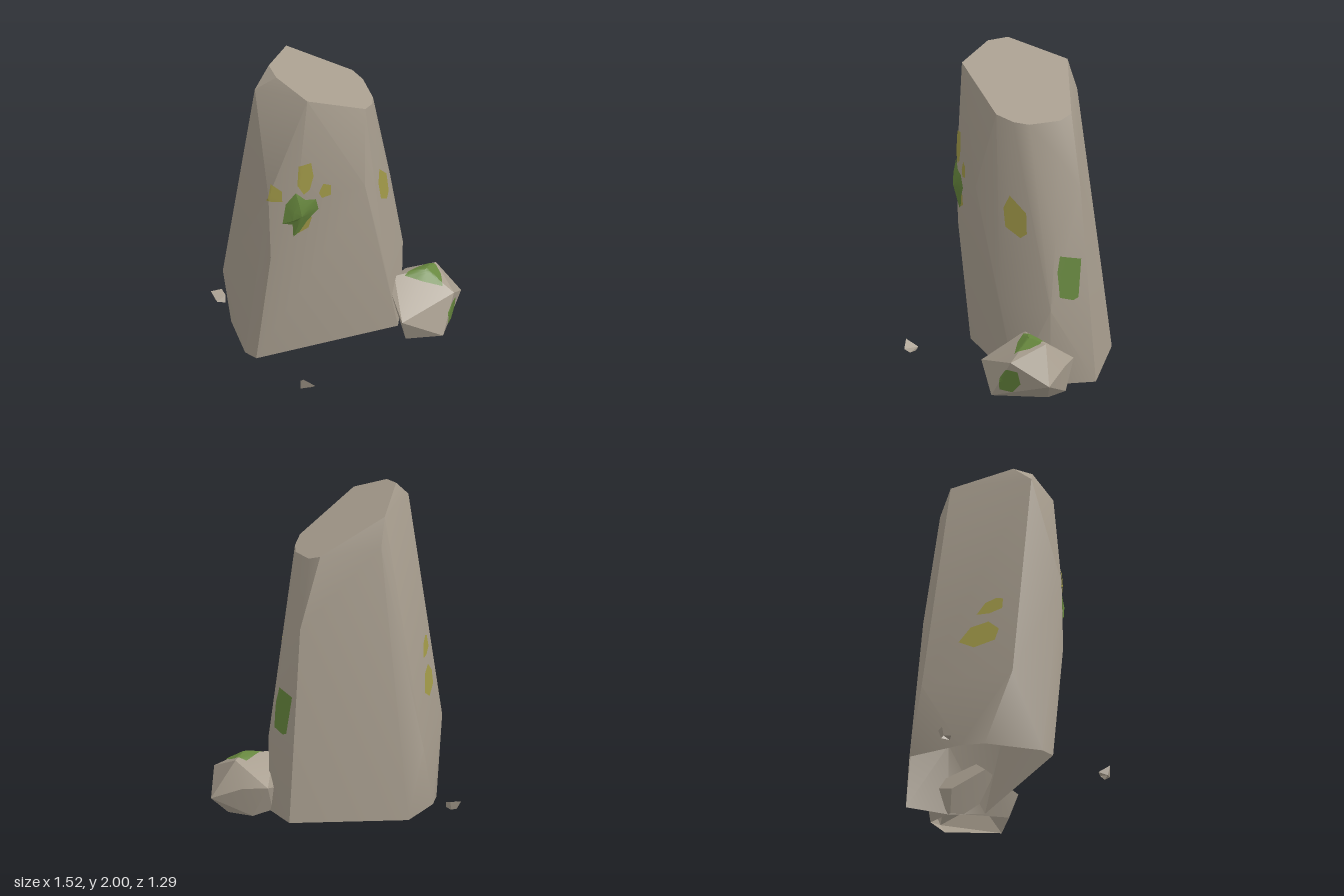
import * as THREE from 'three';
import { toCreasedNormals } from 'three/addons/utils/BufferGeometryUtils.js';
import { ConvexGeometry } from 'three/addons/geometries/ConvexGeometry.js';

const mat = (name, color) => {
  const m = new THREE.MeshStandardMaterial({ color, side: THREE.DoubleSide });
  m.name = name;
  return m;
};

// A stone is the convex hull of a few corner points, hollow and open at the ground.
function stone(name, corners, material, crease) {
  const hull = new ConvexGeometry(corners.map((p) => new THREE.Vector3(...p)));
  const pos = hull.attributes.position;
  const shell = [];
  for (let i = 0; i < pos.count; i += 3) {
    const tri = [0, 1, 2].map((k) => new THREE.Vector3().fromBufferAttribute(pos, i + k));
    if (tri.some((p) => p.y > 0.001)) shell.push(...tri);
  }
  const geometry = toCreasedNormals(new THREE.BufferGeometry().setFromPoints(shell), crease);
  const mesh = new THREE.Mesh(geometry, material);
  mesh.name = name;
  return mesh;
}

// A thin growth: an outline (u, v) seen from azimuth/elevation, laid onto a stone.
function patch(name, rock, material, corners, azimuth, elevation = 0, dome = 0) {
  const sa = Math.sin(azimuth), ca = Math.cos(azimuth);
  const se = Math.sin(elevation), ce = Math.cos(elevation);
  const out = new THREE.Vector3(sa * ce, se, ca * ce);
  const right = new THREE.Vector3(ca, 0, -sa);
  const up = new THREE.Vector3(-sa * se, ce, -ca * se);
  const ray = new THREE.Raycaster();

  // flat growths get finer outlines so they wrap over the creases
  const split = dome ? 1 : 5;
  const outline = corners.flatMap(([u, v], i) => {
    const [u2, v2] = corners[(i + 1) % corners.length];
    return Array.from({ length: split }, (_, k) => [u + (u2 - u) * k / split, v + (v2 - v) * k / split]);
  });
  const n = outline.length;
  const cu = outline.reduce((s, p) => s + p[0], 0) / n;
  const cv = outline.reduce((s, p) => s + p[1], 0) / n;

  const land = (u, v, t) => {
    for (let f = t; f > -0.01; f -= 0.02) {
      const origin = out.clone().multiplyScalar(5)
        .addScaledVector(right, cu + (u - cu) * f)
        .addScaledVector(up, cv + (v - cv) * f);
      ray.set(origin, out.clone().negate());
      const hit = ray.intersectObject(rock)[0];
      if (hit) {
        return hit.point.addScaledVector(hit.face.normal, 0.007).addScaledVector(out, dome * (1 - t));
      }
    }
    return out.clone().multiplyScalar(0.1);
  };

  const rings = dome ? 2 : 7;
  const grid = [];
  for (let r = 0; r <= rings; r++) {
    grid.push(outline.map(([u, v]) => land(u, v, r / rings)));
  }
  // outlines run clockwise; triangles are wound to face outwards
  const points = [];
  for (let r = 0; r < rings; r++) {
    for (let i = 0; i < n; i++) {
      const j = (i + 1) % n;
      const a = grid[r][i], b = grid[r][j], c = grid[r + 1][j], d = grid[r + 1][i];
      points.push(a, c, d);
      if (r > 0) points.push(a, b, c);
    }
  }
  const geometry = toCreasedNormals(new THREE.BufferGeometry().setFromPoints(points), 0.35);
  const mesh = new THREE.Mesh(geometry, material);
  mesh.name = name;
  return mesh;
}

export function createModel() {
  const group = new THREE.Group();
  group.name = 'standingStone';
  const rockMat = mat('stone', 0xa79d8e);
  const mossMat = mat('moss', 0x66863d);
  const lichenMat = mat('lichen', 0xa09848);

  // slanted flat top: plan outline dropped onto one tilted plane
  const top = [
    [-0.5, -0.04], [-0.5, 0.09], [-0.37, 0.29], [0.06, 0.18], [0.14, 0.09],
    [0.18, 0], [0.19, -0.2], [0.15, -0.28], [-0.26, -0.36],
  ].map(([x, z]) => [x, 1.73 - 0.53 * x - 0.1 * z, z]);

  // shoulders and belly of the tall stone
  const middle = [
    [-0.62, 1.89, 0.03], [-0.21, 1.72, -0.41], [0.25, 1.42, -0.18],
    [0.3, 1.23, -0.3], [0.01, 1.2, 0.3], [-0.45, 1.15, 0.305],
    [-0.61, 1.22, 0.24], [-0.6, 0.78, 0.255], [0.19, 0.5, 0.19], [0.345, 0.95, -0.13],
    [0.41, 0.48, -0.08], [-0.76, 0.48, -0.16], [-0.4, 0.44, -0.62],
  ];
  const foot = [
    [0.41, -0.37], [-0.28, -0.65], [-0.56, -0.43], [-0.65, -0.3],
    [-0.7, 0.07], [-0.66, 0.16], [0.3, 0.12], [0.4, -0.08],
  ].map(([x, z]) => [x, 0, z]);
  const tall = stone('tallStone', [...top, ...middle, ...foot], rockMat, 0.52);
  group.add(tall);

  // boulder leaning at the foot
  const boulder = stone('boulder', [
    [0.25, 0.15, 0.325], [0.63, 0.235, 0.235], [0.52, 0, 0.33], [0.29, 0, 0.28],
    [0.76, 0.1, 0.02], [0.65, 0, 0], [0.6, 0.33, 0], [0.5, 0.35, 0.08],
    [0.3, 0.33, 0.06], [0.25, 0.28, 0.1], [0.34, 0.15, -0.09],
    [0.48, 0.19, -0.21], [0.61, 0.18, -0.12], [0.38, 0, -0.08], [0.55, 0, -0.14],
  ], rockMat, 0.3);
  group.add(boulder);

  // two loose chips on the ground
  group.add(stone('frontChip', [
    [-0.53, 0, 0.59], [-0.51, 0.02, 0.535], [-0.52, 0.075, 0.61],
    [-0.45, 0.03, 0.64], [-0.46, 0, 0.6], [-0.5, 0, 0.55],
  ], rockMat, 0.3));
  group.add(stone('backChip', [
    [-0.67, 0.05, -0.6], [-0.6, 0.055, -0.595], [-0.595, 0.04, -0.54],
    [-0.605, 0, -0.52], [-0.655, 0.01, -0.53], [-0.65, 0, -0.58], [-0.61, 0, -0.58],
  ], rockMat, 0.3));

  // moss clumps
  group.add(patch('frontMoss', tall, mossMat, [
    [-0.45, 1.25], [-0.39, 1.19], [-0.32, 1.18], [-0.3, 1.1], [-0.37, 1.03],
    [-0.42, 0.95], [-0.46, 0.92], [-0.47, 1.02], [-0.53, 1.03], [-0.51, 1.17],
  ], 0, 0, 0.03));
  group.add(patch('sideMoss', tall, mossMat, [
    [0.15, 0.82], [0.29, 0.79], [0.265, 0.55], [0.23, 0.535], [0.14, 0.56], [0.13, 0.72],
  ], Math.PI / 2));
  group.add(patch('boulderTopMoss', boulder, mossMat, [
    [0.36, -0.08], [0.53, 0.01], [0.585, -0.03], [0.59, -0.1], [0.57, -0.19], [0.45, -0.14],
  ], 0, Math.PI / 2));
  group.add(patch('boulderFrontMoss', boulder, mossMat, [
    [0.57, 0.13], [0.61, 0.19], [0.65, 0.18], [0.65, 0.1], [0.61, 0.04], [0.56, 0.05],
  ], 0));

  // lichen spots
  const frontSpots = [
    [[-0.43, 1.44], [-0.35, 1.45], [-0.335, 1.35], [-0.36, 1.26], [-0.4, 1.23], [-0.44, 1.3]],
    [[-0.59, 1.31], [-0.53, 1.26], [-0.53, 1.19], [-0.615, 1.19]],
    [[-0.27, 1.28], [-0.22, 1.26], [-0.22, 1.19], [-0.28, 1.18], [-0.3, 1.22]],
    [[-0.42, 1.03], [-0.34, 1.05], [-0.36, 0.97], [-0.43, 0.94]],
    [[0.17, 1.18], [0.25, 1.08], [0.265, 0.95], [0.24, 0.92], [0.17, 0.98], [0.15, 1.1]],
  ];
  frontSpots.forEach((o) => group.add(patch('frontLichen', tall, lichenMat, o, 0)));
  const backSpots = [
    [[0.25, 0.83], [0.36, 0.86], [0.43, 0.8], [0.41, 0.72], [0.28, 0.68], [0.18, 0.73]].map(([u, v]) => [u - 0.06, v]),
    [[0.27, 1.0], [0.34, 1.03], [0.38, 1.02], [0.38, 0.95], [0.3, 0.92], [0.22, 0.92]],
  ];
  backSpots.forEach((o) => group.add(patch('backLichen', tall, lichenMat, o, Math.PI + 0.7)));

  return group;
}
